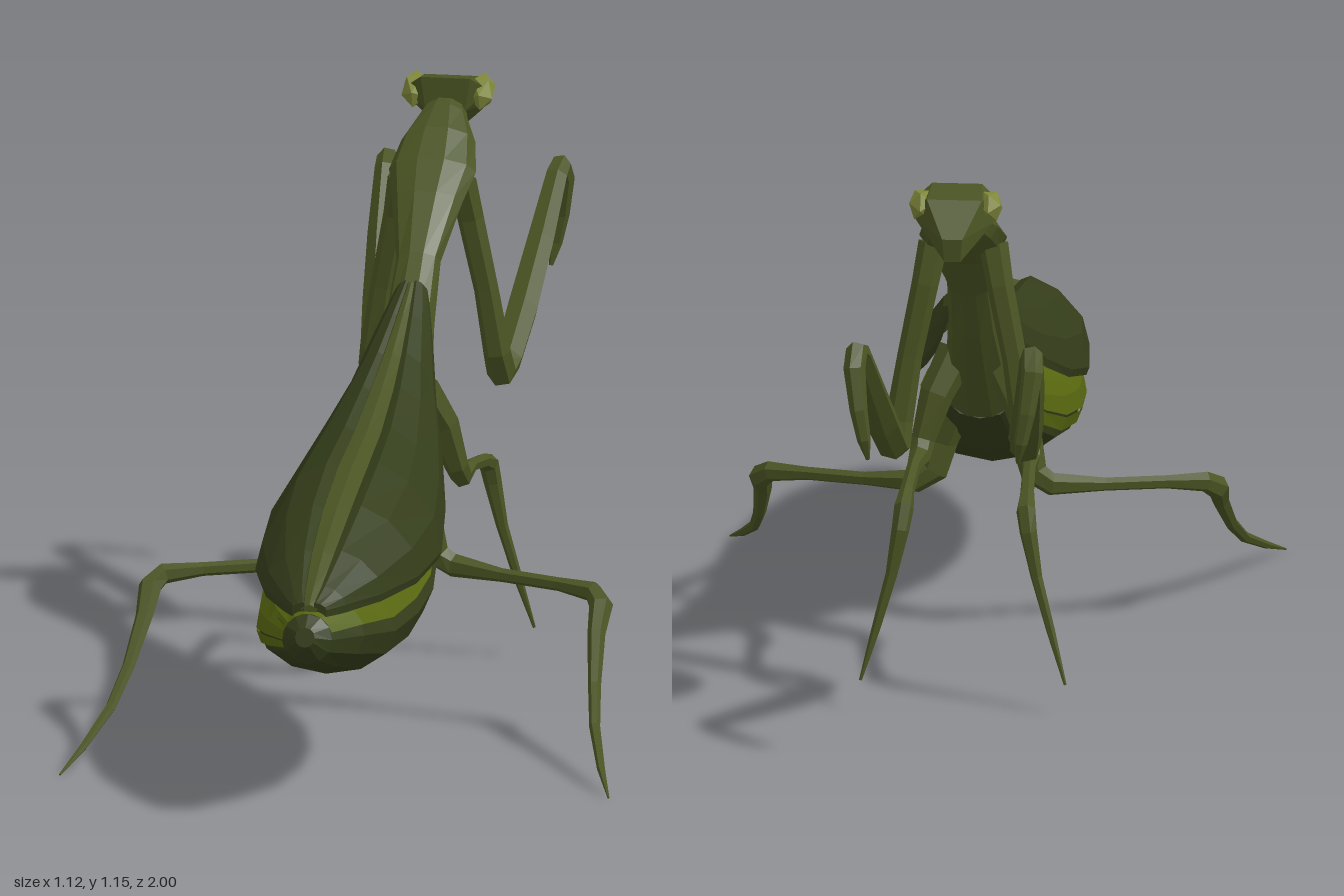
import * as THREE from 'three';
import { ConvexGeometry } from 'three/addons/geometries/ConvexGeometry.js';

const V = (x, y, z) => new THREE.Vector3(x, y, z);
const paint = (color) => new THREE.MeshStandardMaterial({ color, flatShading: true, side: THREE.DoubleSide });
const green = paint(0x4a5423), darkGreen = paint(0x343d1a), lime = paint(0x56650f), eyeColor = paint(0x80883a);

// Skins a list of equal-length rings; closed rings get end caps
function skin(rings, closed = true) {
  const n = rings[0].length, pos = [], idx = [];
  rings.forEach((r) => r.forEach((p) => pos.push(p.x, p.y, p.z)));
  const steps = closed ? n : n - 1;
  for (let i = 0; i < rings.length - 1; i++) {
    for (let j = 0; j < steps; j++) {
      const k = (j + 1) % n, a = i * n + j, b = i * n + k, c = b + n, d = a + n;
      idx.push(a, b, c, a, c, d);
    }
  }
  if (closed) {
    [0, rings.length - 1].forEach((i) => {
      const c = V(0, 0, 0);
      rings[i].forEach((p) => c.addScaledVector(p, 1 / n));
      const m = pos.length / 3;
      pos.push(c.x, c.y, c.z);
      for (let j = 0; j < n; j++) {
        const a = i * n + j, b = i * n + (j + 1) % n;
        if (i === 0) idx.push(m, b, a); else idx.push(m, a, b);
      }
    });
  }
  const g = new THREE.BufferGeometry();
  g.setAttribute('position', new THREE.Float32BufferAttribute(pos, 3));
  g.setIndex(idx);
  g.computeVertexNormals();
  return g;
}

// Body rings from tail to neck: z, y, half width, half thickness
const spine = [
  [1.0, 0.39, 0.02, 0.02], [0.97, 0.38, 0.05, 0.05], [0.88, 0.37, 0.1, 0.075], [0.75, 0.35, 0.14, 0.093],
  [0.6, 0.352, 0.16, 0.1], [0.45, 0.365, 0.163, 0.1], [0.3, 0.395, 0.145, 0.102], [0.15, 0.45, 0.115, 0.09],
  [0, 0.54, 0.08, 0.07], [-0.1, 0.64, 0.062, 0.058], [-0.2, 0.745, 0.05, 0.05], [-0.3, 0.85, 0.045, 0.034],
  [-0.4, 0.95, 0.072, 0.034], [-0.46, 0.997, 0.088, 0.038], [-0.53, 1.04, 0.075, 0.042],
  [-0.59, 1.075, 0.048, 0.036], [-0.64, 1.09, 0.035, 0.028],
];
function bodyRings(from, to, a0, a1, n, grow = 1) {
  const rings = [];
  for (let i = from; i < to; i++) {
    const p = spine[Math.max(i - 1, 0)], q = spine[Math.min(i + 1, spine.length - 1)];
    const t = V(0, q[1] - p[1], q[0] - p[0]).normalize();
    const u = V(1, 0, 0), v = t.clone().cross(u);
    const [z, y, w, h] = spine[i];
    rings.push(Array.from({ length: n }, (_, j) => {
      const a = a0 + (a1 - a0) * j / n;
      return V(0, y, z).addScaledVector(u, Math.cos(a) * w * grow).addScaledVector(v, Math.sin(a) * h * grow);
    }));
  }
  return rings;
}

// Tapered limb through points [x, y, z, radius]
function limb(points, sides = 6) {
  const P = points.map((p) => V(p[0], p[1], p[2]));
  let t0 = P[1].clone().sub(P[0]).normalize();
  let u = V(0, 0, 1).cross(t0).normalize();
  return skin(P.map((p, i) => {
    const t = P[Math.min(i + 1, P.length - 1)].clone().sub(P[Math.max(i - 1, 0)]).normalize();
    u.applyQuaternion(new THREE.Quaternion().setFromUnitVectors(t0, t));
    t0 = t;
    const v = t.clone().cross(u);
    return Array.from({ length: sides }, (_, j) => {
      const a = j / sides * Math.PI * 2, r = points[i][3];
      return p.clone().addScaledVector(u, Math.cos(a) * r).addScaledVector(v, Math.sin(a) * r);
    });
  }));
}

// Left-hand limbs, each mirrored to the right
const limbs = {
  graspingLeg: [
    [0.06, 0.98, -0.455, 0.03], [0.075, 0.9, -0.473, 0.027], [0.105, 0.75, -0.485, 0.025],
    [0.125, 0.62, -0.495, 0.028], [0.13, 0.575, -0.515, 0.03], [0.133, 0.59, -0.565, 0.032],
    [0.145, 0.67, -0.67, 0.034], [0.16, 0.78, -0.79, 0.03], [0.172, 0.885, -0.905, 0.024],
    [0.175, 0.9, -0.935, 0.022], [0.178, 0.87, -0.957, 0.022], [0.168, 0.79, -0.978, 0.018],
    [0.157, 0.73, -0.982, 0.014], [0.15, 0.685, -0.97, 0.004],
  ],
  middleLeg: [
    [0.04, 0.64, -0.09, 0.04], [0.08, 0.56, -0.125, 0.034], [0.105, 0.47, -0.145, 0.024],
    [0.11, 0.443, -0.17, 0.022], [0.115, 0.447, -0.25, 0.014], [0.12, 0.43, -0.36, 0.015],
    [0.122, 0.412, -0.415, 0.02], [0.128, 0.37, -0.428, 0.018], [0.145, 0.28, -0.437, 0.012],
    [0.175, 0.17, -0.45, 0.009], [0.205, 0.065, -0.468, 0.003],
  ],
  hindLeg: [
    [0.06, 0.48, 0.07, 0.04], [0.085, 0.4, 0.075, 0.032], [0.1, 0.34, 0.065, 0.028],
    [0.135, 0.318, 0.062, 0.024], [0.24, 0.31, 0.095, 0.014], [0.36, 0.306, 0.133, 0.014],
    [0.435, 0.3, 0.16, 0.021], [0.457, 0.28, 0.19, 0.024], [0.458, 0.235, 0.25, 0.018],
    [0.472, 0.155, 0.35, 0.013], [0.49, 0.095, 0.45, 0.011], [0.525, 0.04, 0.575, 0.008], [0.556, 0.004, 0.665, 0.002],
  ],
};

// Wing stations front to back: z, ridge y, edge y, inner x, outer x
const wingStations = [
  [-0.22, 0.83, 0.8, 0.006, 0.035], [-0.12, 0.785, 0.72, 0.012, 0.062], [0, 0.735, 0.63, 0.018, 0.09],
  [0.12, 0.693, 0.56, 0.023, 0.123], [0.28, 0.648, 0.49, 0.027, 0.158], [0.45, 0.618, 0.442, 0.029, 0.18],
  [0.63, 0.574, 0.435, 0.028, 0.166], [0.79, 0.52, 0.435, 0.023, 0.12], [0.9, 0.473, 0.436, 0.016, 0.065],
  [0.95, 0.45, 0.436, 0.01, 0.035],
];
function wing(side) {
  return skin(wingStations.map(([z, top, low, xi, xo]) => {
    const h = top - low, at = (f, g, d = 0) => V(side * (xi + (xo - xi) * f), low + h * g - d, z);
    const d = 0.016;
    const ring = [at(1, 0), at(0.9, 0.4), at(0.55, 0.8), at(0.15, 1), at(0, 0.94),
      at(0, 0.94, d), at(0.5, 0.74, d), at(0.87, 0.33, d), at(0.96, 0, d)];
    return side > 0 ? ring : ring.reverse();
  }));
}

export function createModel() {
  const model = new THREE.Group();
  const add = (name, geometry, material) => {
    const m = new THREE.Mesh(geometry, material);
    m.name = name;
    model.add(m);
    return m;
  };

  // Abdomen, thorax and neck
  add('abdomen', skin(bodyRings(0, 9, 0, Math.PI * 2, 12)), darkGreen);
  add('thorax', skin(bodyRings(8, spine.length, 0, Math.PI * 2, 10)), green);

  // Pale band along the upper flanks and across the tail
  add('flankBand', skin(bodyRings(1, 10, -Math.PI * 1.02, Math.PI * 0.02, 9, 1.02), false), lime);
  add('flankBandRight', skin(bodyRings(1, 10, Math.PI * 0.88, Math.PI * 1.05, 2, 1.02), false), lime);

  // Strip between the folded wings
  add('backStrip', skin(wingStations.map(([z, top, , xi]) => [
    V(xi + 0.008, top - 0.012, z), V(0, top - 0.004, z), V(-xi - 0.008, top - 0.012, z), V(0, top - 0.035, z),
  ])), green);

  // Head: a wedge narrowing to the mouth
  const head = [];
  for (const s of [-1, 1]) {
    head.push(V(s * 0.05, 1.152, -0.605), V(s * 0.04, 1.085, -0.605), V(s * 0.085, 1.125, -0.63),
      V(s * 0.078, 1.09, -0.66), V(s * 0.055, 1.14, -0.68), V(s * 0.05, 1.06, -0.69),
      V(s * 0.02, 1.075, -0.738), V(s * 0.016, 1.028, -0.735), V(s * 0.03, 1.045, -0.66));
  }
  add('head', new ConvexGeometry(head), green);

  for (const s of [1, -1]) {
    const label = s > 0 ? 'left' : 'right';
    add(label + 'Wing', wing(s), darkGreen);
    for (const [name, pts] of Object.entries(limbs)) {
      add(`${label} ${name}`, limb(pts.map(([x, y, z, r]) => [s * x, y, z, r])), green);
    }
    // Faceted eye
    const eye = add(label + 'Eye', new THREE.IcosahedronGeometry(1, 0), eyeColor);
    eye.scale.set(0.028, 0.034, 0.046);
    eye.position.set(s * 0.068, 1.118, -0.645);
    eye.rotation.x = 0.4;
  }
  return model;
}
